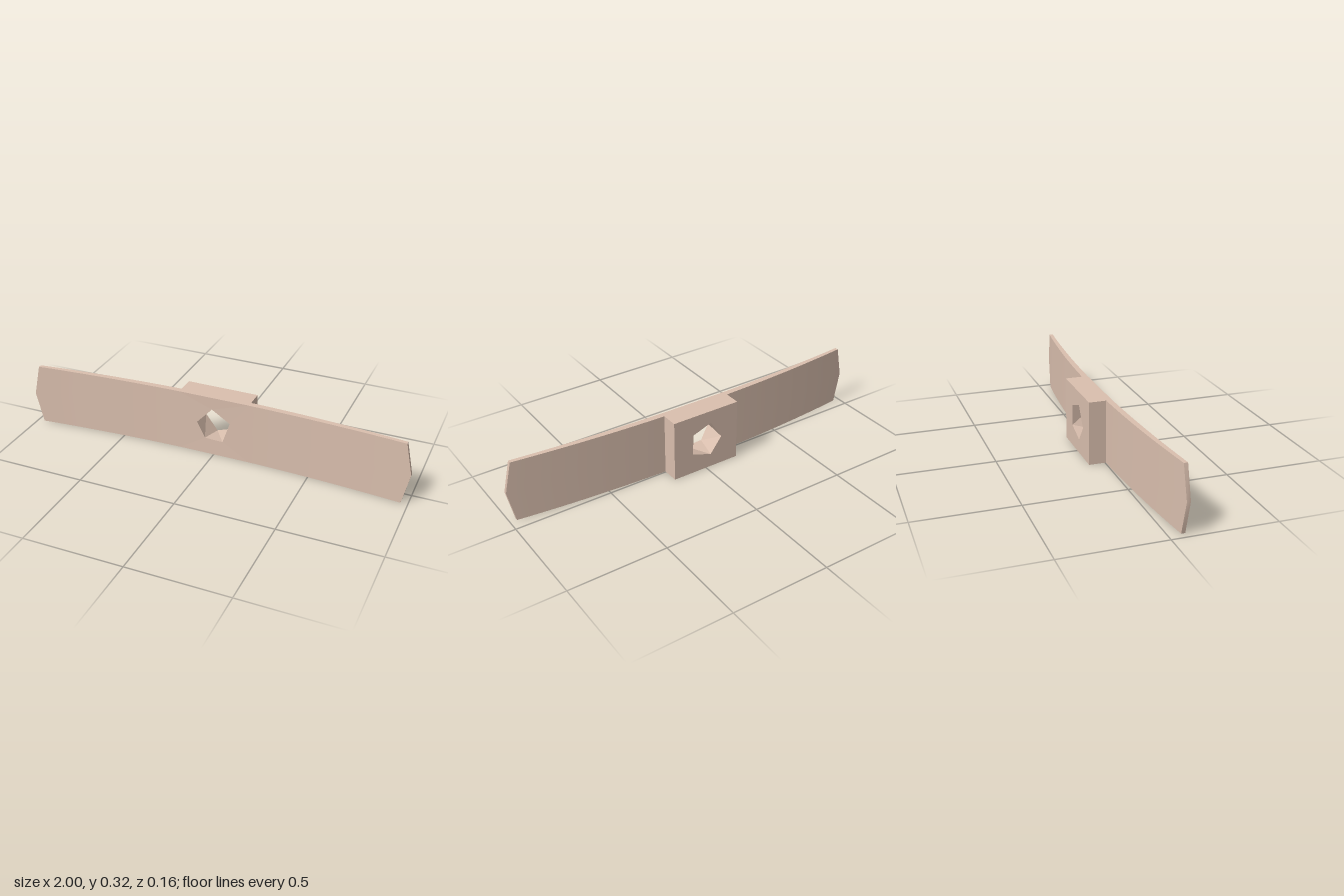
import * as THREE from 'three';

const HEIGHT = 0.322, HALF_HUB = 0.185, HUB_BACK = -0.082;

// Bowed blade surfaces: the blade thins towards its tips
const frontZ = (x) => 0.032 + 0.05 * x * x;
const backZ = (x) => 0.002 + 0.062 * x * x;

// Five-sided bore, slightly twisted from front to back
const boreFront = [[-0.01, 0.095], [0.085, 0.035], [0.047, -0.078], [-0.048, -0.075], [-0.09, 0.008]];
const boreBack = [[-0.028, 0.094], [0.074, 0.057], [0.079, -0.052], [-0.028, -0.09], [-0.091, -0.006]];

function hubGeometry() {
  const w = HALF_HUB, h = HEIGHT / 2;
  const shape = new THREE.Shape([[-w, -h], [w, -h], [w, h], [-w, h]].map((p) => new THREE.Vector2(...p)));
  shape.holes.push(new THREE.Path(boreFront.map((p) => new THREE.Vector2(...p))));
  const geo = new THREE.ExtrudeGeometry(shape, { depth: 1, bevelEnabled: false });
  const pos = geo.attributes.position;
  for (let i = 0; i < pos.count; i++) {
    let x = pos.getX(i), y = pos.getY(i);
    const isFront = pos.getZ(i) > 0.5;
    const corner = boreFront.findIndex((p) => Math.hypot(p[0] - x, p[1] - y) < 1e-4);
    if (!isFront && corner >= 0) [x, y] = boreBack[corner];
    pos.setXYZ(i, x, y, isFront ? frontZ(x) : HUB_BACK);
  }
  geo.computeVertexNormals();
  return geo;
}

function wingGeometry() {
  const geo = new THREE.BoxGeometry(1, 1, 1, 24, 2, 1);
  const pos = geo.attributes.position;
  for (let i = 0; i < pos.count; i++) {
    const y = pos.getY(i);
    const tip = 1 - 0.07 * Math.abs(y); // shallow pointed end
    const x = HALF_HUB + (pos.getX(i) + 0.5) * (tip - HALF_HUB);
    pos.setXYZ(i, x, y * HEIGHT, pos.getZ(i) > 0 ? frontZ(x) : backZ(x));
  }
  geo.computeVertexNormals();
  return geo;
}

export function createModel() {
  const group = new THREE.Group();
  group.name = 'curvedBlade';
  const material = new THREE.MeshStandardMaterial({ color: 0xdabfae });

  const add = (name, geo) => {
    const mesh = new THREE.Mesh(geo, material);
    mesh.name = name;
    mesh.position.y = HEIGHT / 2;
    group.add(mesh);
    return mesh;
  };

  // Mounting block with the bore, and a wing on either side
  add('hub', hubGeometry());
  const wing = wingGeometry();
  add('leftWing', wing);
  add('rightWing', wing).rotation.z = Math.PI;
  return group;
}
